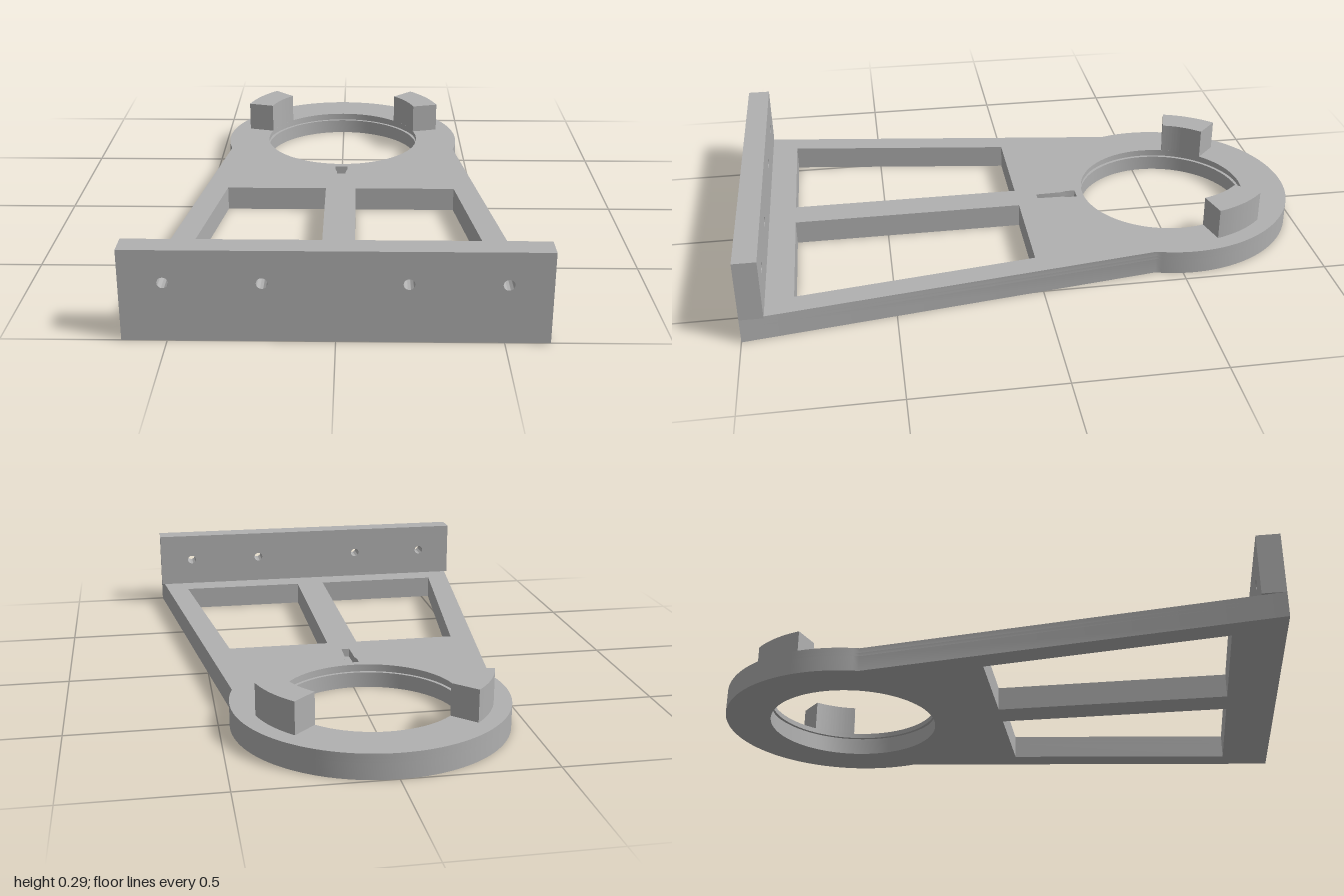
import * as THREE from 'three';
import { toCreasedNormals } from 'three/addons/utils/BufferGeometryUtils.js';

const RING_Z = -0.536, RING_R = 0.464, HOLE_R = 0.303;
const PLATE_TOP = 0.085;

// Closed path from [x, y] points
function polygon(points, Type = THREE.Path) {
  const path = new Type();
  points.forEach(([x, y], i) => (i ? path.lineTo(x, y) : path.moveTo(x, y)));
  path.closePath();
  return path;
}

function circle(x, y, r) {
  const path = new THREE.Path();
  path.absarc(x, y, r, 0, Math.PI * 2, true);
  return path;
}

function extrude(shape, depth) {
  const geometry = new THREE.ExtrudeGeometry(shape, { depth, bevelEnabled: false, curveSegments: 40 });
  return toCreasedNormals(geometry, 0.5);
}

// Plan shapes are drawn with y = -z, then laid flat between two heights
function slab(shape, y0, y1) {
  return extrude(shape, y1 - y0).rotateX(-Math.PI / 2).translate(0, y0, 0);
}

// Tapered plate merging into the ring, with two windows and the round opening
function plateShape(holeRadius, withSlot) {
  const cy = -RING_Z;
  const a = -Math.asin(0.132 / RING_R);
  const shape = new THREE.Shape();
  shape.moveTo(-0.637, -1);
  shape.lineTo(0.637, -1);
  shape.lineTo(RING_R * Math.cos(a), cy + RING_R * Math.sin(a));
  shape.absarc(0, cy, RING_R, a, Math.PI - a, false);
  shape.closePath();

  shape.holes.push(circle(0, cy, holeRadius));
  for (const s of [-1, 1]) {
    shape.holes.push(polygon([[s * 0.055, -0.016], [s * 0.418, -0.016], [s * 0.53, -0.828], [s * 0.055, -0.828]]));
  }
  if (withSlot) {
    // keyhole-shaped pocket
    shape.holes.push(polygon([
      [-0.023, 0.207], [0.023, 0.207], [0.023, 0.175], [0.017, 0.155],
      [0.014, 0.06], [-0.014, 0.06], [-0.017, 0.155], [-0.023, 0.175],
    ]));
  }
  return shape;
}

export function createModel() {
  const model = new THREE.Group();
  const grey = new THREE.MeshStandardMaterial({ color: 0xb0b0b0 });
  grey.name = 'grey';

  const add = (name, geometry) => {
    const mesh = new THREE.Mesh(geometry, grey);
    mesh.name = name;
    model.add(mesh);
  };

  // Plate in three layers, leaving a fine groove inside the opening
  add('plateBase', slab(plateShape(HOLE_R, false), 0, 0.055));
  add('plateGroove', slab(plateShape(HOLE_R + 0.012, true), 0.055, 0.067));
  add('plateTop', slab(plateShape(HOLE_R, true), 0.067, PLATE_TOP));

  // Upright mounting wall with four screw holes
  const wall = polygon([[-0.637, PLATE_TOP], [0.637, PLATE_TOP], [0.637, 0.295], [-0.637, 0.295]], THREE.Shape);
  for (const x of [-0.505, -0.215, 0.215, 0.505]) wall.holes.push(circle(x, 0.19, 0.017));
  add('mountingWall', extrude(wall, 0.078).translate(0, 0, 0.922));

  // Curved stops standing on the ring
  const start = THREE.MathUtils.degToRad(15), end = THREE.MathUtils.degToRad(44.5);
  for (const [name, a0, a1] of [
    ['leftStop', start, end],
    ['rightStop', Math.PI - end, Math.PI - start],
  ]) {
    const stop = new THREE.Shape();
    stop.absarc(0, -RING_Z, 0.404, a0, a1, false);
    stop.absarc(0, -RING_Z, HOLE_R, a1, a0, true);
    stop.closePath();
    add(name, slab(stop, PLATE_TOP, 0.195));
  }

  return model;
}
